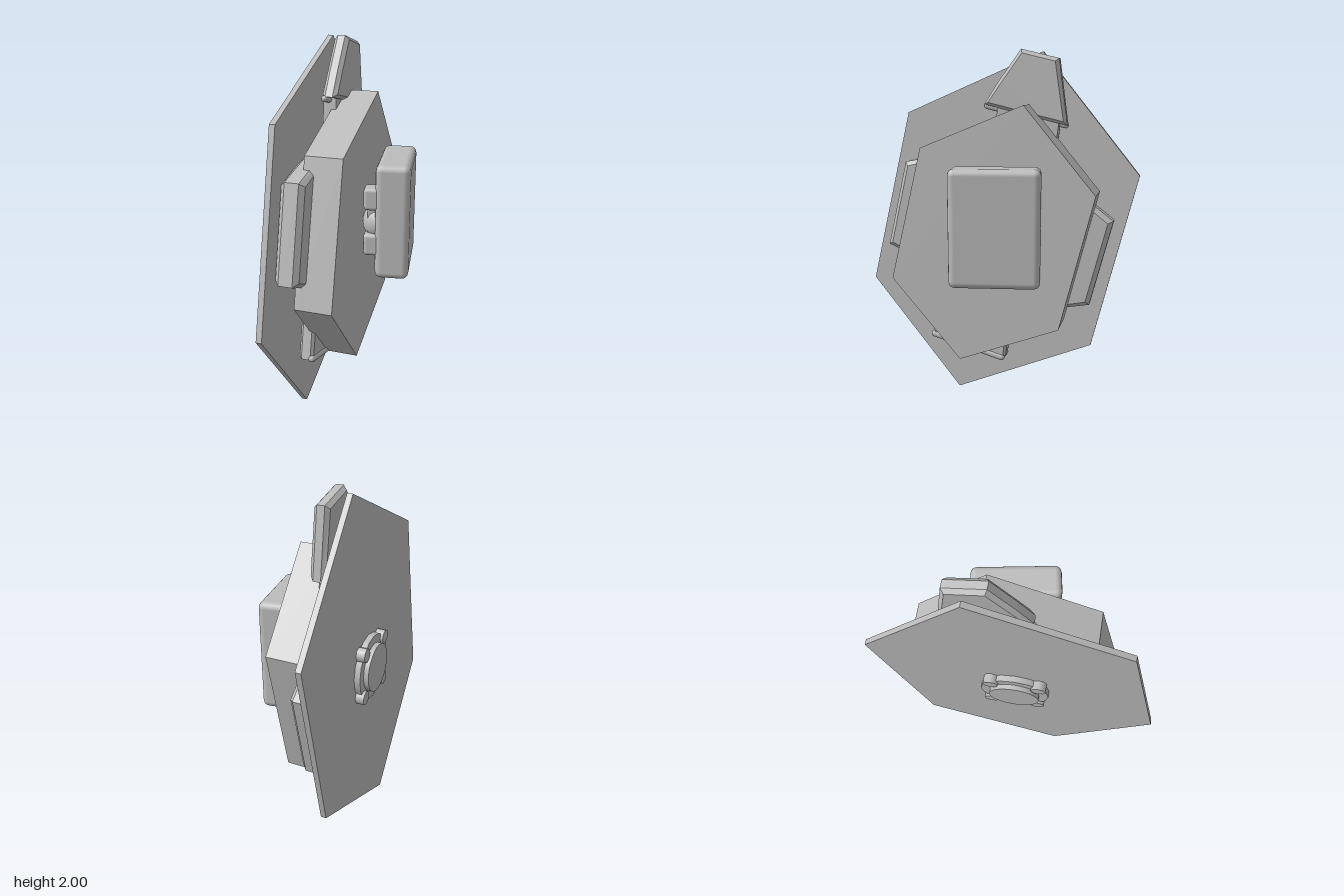
import * as THREE from 'three';
import { RoundedBoxGeometry } from 'three/addons/geometries/RoundedBoxGeometry.js';

export function createModel() {
  const model = new THREE.Group();
  const grey = new THREE.MeshStandardMaterial({ color: 0xbcbcbc });
  grey.name = 'grey metal';

  // all layered parts lie in a plane turned ten degrees about the vertical
  const tilted = new THREE.Group();
  tilted.name = 'tiltedShield';
  tilted.rotation.y = -THREE.MathUtils.degToRad(10);
  model.add(tilted);

  function add(parent, name, geometry, x = 0, y = 0, z = 0) {
    const mesh = new THREE.Mesh(geometry, grey);
    mesh.name = name;
    mesh.position.set(x, y, z);
    parent.add(mesh);
    return mesh;
  }

  // slab with a [z, y] outline, running from x0 to x1
  function slab(name, outline, x0, x1, bevel = 0) {
    const shape = new THREE.Shape(outline.map(([z, y]) => new THREE.Vector2(-z, y)));
    const geometry = new THREE.ExtrudeGeometry(shape, {
      depth: x1 - x0 - 2 * bevel, bevelEnabled: bevel > 0, bevelSegments: 1,
      bevelSize: bevel, bevelThickness: bevel, bevelOffset: -bevel,
    });
    geometry.translate(0, 0, x0 + bevel);
    geometry.rotateY(Math.PI / 2);
    add(tilted, name, geometry);
  }

  // round disc facing along x
  function disc(name, radius, x0, x1, sides, y = 1, z = 0.02) {
    const geometry = new THREE.CylinderGeometry(radius, radius, x1 - x0, sides);
    geometry.rotateZ(Math.PI / 2);
    add(tilted, name, geometry, (x0 + x1) / 2, y, z);
  }

  // thin lip between two [x, y, z] points
  function lip(name, a, b, radius) {
    const path = new THREE.LineCurve3(new THREE.Vector3(...a), new THREE.Vector3(...b));
    add(tilted, name, new THREE.TubeGeometry(path, 1, radius, 8));
    [a, b].forEach((p) => add(tilted, name + 'End', new THREE.SphereGeometry(radius, 8, 6), ...p));
  }

  // large back plate and thick front body
  slab('backPlate', [[0.285, 0], [0.82, 0.66], [0.575, 1.66], [-0.21, 1.99], [-0.75, 1.33], [-0.51, 0.34]], -0.202, -0.172);
  slab('frontBody', [[-0.16, 1.71], [0.41, 1.48], [0.592, 0.74], [0.196, 0.29], [-0.363, 0.51], [-0.545, 1.25]], -0.1, 0.0985);

  // fins between plate and body
  slab('frontFin', [[0.675, 0.9], [0.56, 1.385], [0.3, 1.44], [0.45, 0.8]], -0.168, -0.045, 0.025);
  slab('rearFin', [[-0.4, 1.25], [-0.5, 1.185], [-0.625, 1.09], [-0.505, 0.61], [-0.3, 0.57]], -0.165, -0.06, 0.025);
  slab('topFin', [[-0.11, 2], [-0.315, 1.95], [-0.365, 1.6], [0.095, 1.71], [0.015, 1.83]], -0.13, -0.05, 0.02);
  slab('topFinNeck', [[0.02, 1.71], [-0.32, 1.63], [-0.29, 1.4], [0.05, 1.4]], -0.145, -0.075);
  slab('bottomFin', [[0.425, 0.355], [0.02, 0.24], [-0.025, 0.255], [-0.05, 0.5], [0.38, 0.55]], -0.155, -0.075, 0.015);
  lip('topFinLip', [-0.115, 1.7, 0.09], [-0.115, 1.6, -0.35], 0.017);
  lip('bottomFinLip', [-0.085, 0.36, 0.41], [-0.085, 0.25, 0.0], 0.02);
  lip('bottomFinRearLip', [-0.14, 0.37, 0.4], [-0.14, 0.26, 0.0], 0.018);

  // axle through the plate, with the hub on the back
  disc('axle', 0.17, -0.19, -0.09, 24);
  disc('hubRing', 0.185, -0.235, -0.19, 16);
  disc('hubCap', 0.135, -0.262, -0.22, 32);
  for (let i = 0; i < 4; i++) {
    const angle = Math.PI / 4 + i * Math.PI / 2;
    disc('hubLug', 0.04, -0.25, -0.19, 8, 1 + 0.18 * Math.sin(angle), 0.02 + 0.18 * Math.cos(angle));
  }

  // upright block on the outer side, with its mounts and round joint
  add(model, 'outerBlock', new RoundedBoxGeometry(0.18, 0.62, 0.475, 2, 0.035), 0.246, 1.09, -0.003);
  add(model, 'upperMount', new RoundedBoxGeometry(0.09, 0.12, 0.1, 2, 0.02), 0.14, 1.215, 0.172);
  add(model, 'lowerMount', new RoundedBoxGeometry(0.09, 0.12, 0.1, 2, 0.02), 0.14, 0.965, 0.172);
  add(model, 'mountBar', new THREE.BoxGeometry(0.06, 0.3, 0.06), 0.145, 1.09, 0.155);
  add(model, 'jointBall', new THREE.SphereGeometry(0.1, 20, 14), 0.18, 1.07, 0.12);
  return model;
}
